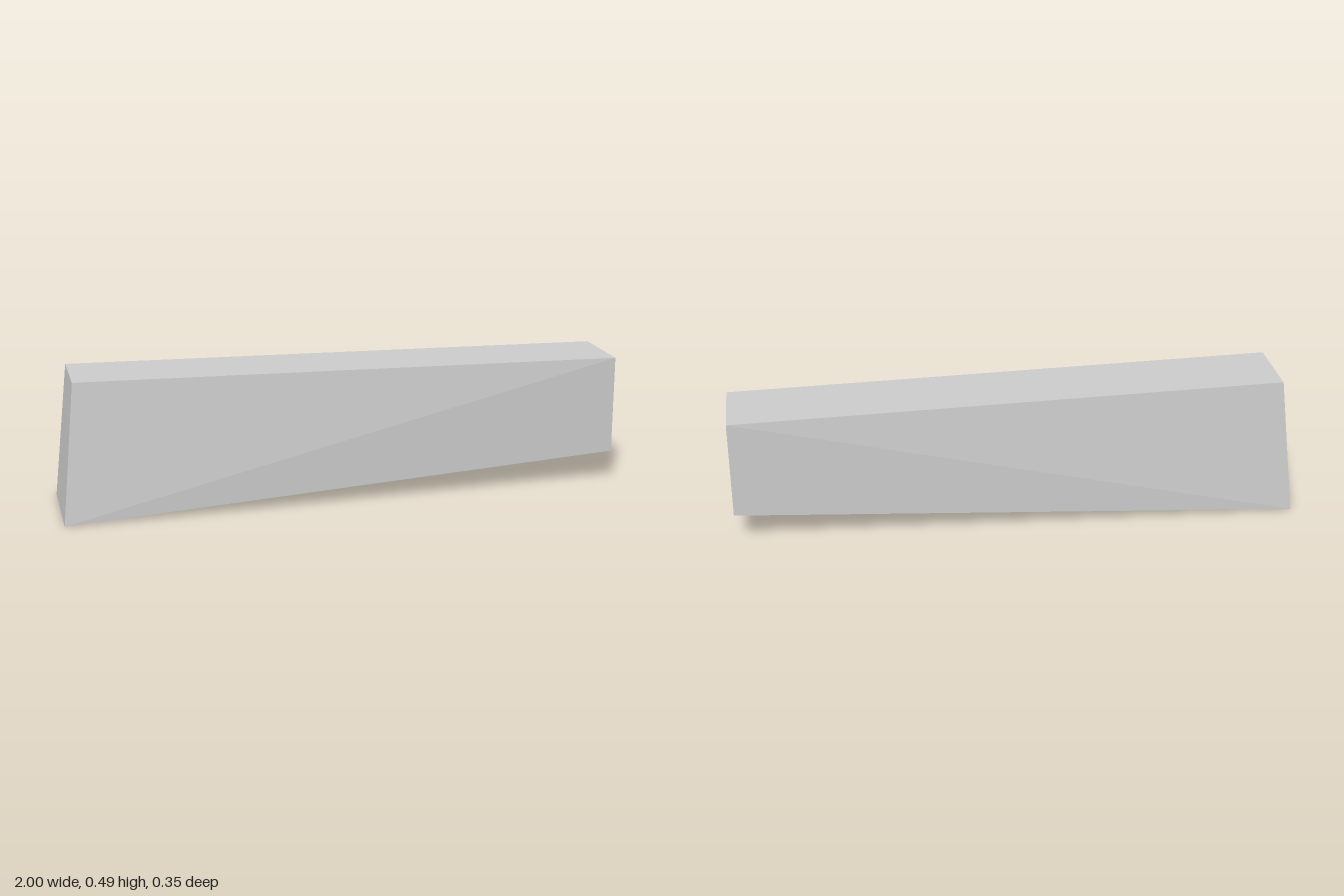
import * as THREE from 'three';

export function createModel() {
  const group = new THREE.Group();
  const grey = new THREE.MeshStandardMaterial({ color: 0xcccccc });
  grey.name = 'plain grey';

  function add(name, geometry) {
    const mesh = new THREE.Mesh(geometry, grey);
    mesh.name = name;
    group.add(mesh);
    return mesh;
  }

  // Tapered bar: corners named left/right, bottom/top, front/back
  const c = {
    lbf: [-1, 0, 0.175], lbb: [-1, 0, -0.175],
    ltf: [-0.95, 0.492, 0.133], ltb: [-0.95, 0.492, -0.13],
    rbf: [1, 0.11, 0.14], rbb: [1, 0.11, -0.124],
    rtf: [1, 0.462, 0.14], rtb: [1, 0.462, -0.124],
  };
  const faces = [
    ['lbf', 'rbf', 'rtf', 'ltf'],
    ['lbb', 'ltb', 'rtb', 'rbb'],
    ['ltf', 'rtf', 'rtb', 'ltb'],
    ['lbb', 'rbb', 'rbf', 'lbf'],
    ['lbb', 'lbf', 'ltf', 'ltb'],
  ];
  const points = faces.flatMap((f) => [0, 1, 2, 0, 2, 3].flatMap((i) => c[f[i]]));
  const bar = new THREE.BufferGeometry();
  bar.setAttribute('position', new THREE.Float32BufferAttribute(points, 3));
  bar.computeVertexNormals();
  add('taperedBar', bar);

  // Eight-sided socket outline, as [-z, y], counter-clockwise seen from the end
  const outline = [
    [0.089, 0.285], [0.077, 0.367], [-0.008, 0.415], [-0.095, 0.367],
    [-0.106, 0.285], [-0.095, 0.205], [-0.008, 0.157], [0.077, 0.205],
  ].map(([u, y]) => new THREE.Vector2(u, y));
  const depth = 0.85, dropY = -0.047, shiftZ = 0.015;

  // End face with the socket opening
  const end = new THREE.Shape([
    new THREE.Vector2(-0.14, 0.11), new THREE.Vector2(0.124, 0.11),
    new THREE.Vector2(0.124, 0.462), new THREE.Vector2(-0.14, 0.462),
  ]);
  end.holes.push(new THREE.Path(outline));
  add('endFace', new THREE.ShapeGeometry(end).rotateY(Math.PI / 2).translate(1, 0, 0));

  // Slanted socket wall, smooth inside
  const n = outline.length;
  const wallPoints = [], index = [];
  for (const t of [0, 1]) {
    for (const p of outline) wallPoints.push(1 - depth * t, p.y + dropY * t, -p.x + shiftZ * t);
  }
  for (let i = 0; i < n; i++) {
    const j = (i + 1) % n;
    index.push(i, j, n + i, j, n + j, n + i);
  }
  const wall = new THREE.BufferGeometry();
  wall.setAttribute('position', new THREE.Float32BufferAttribute(wallPoints, 3));
  wall.setIndex(index);
  wall.computeVertexNormals();
  add('socketWall', wall);

  // Flat socket floor
  const floor = new THREE.ShapeGeometry(new THREE.Shape(outline)).rotateY(Math.PI / 2);
  add('socketFloor', floor.translate(1 - depth, dropY, shiftZ));

  return group;
}
